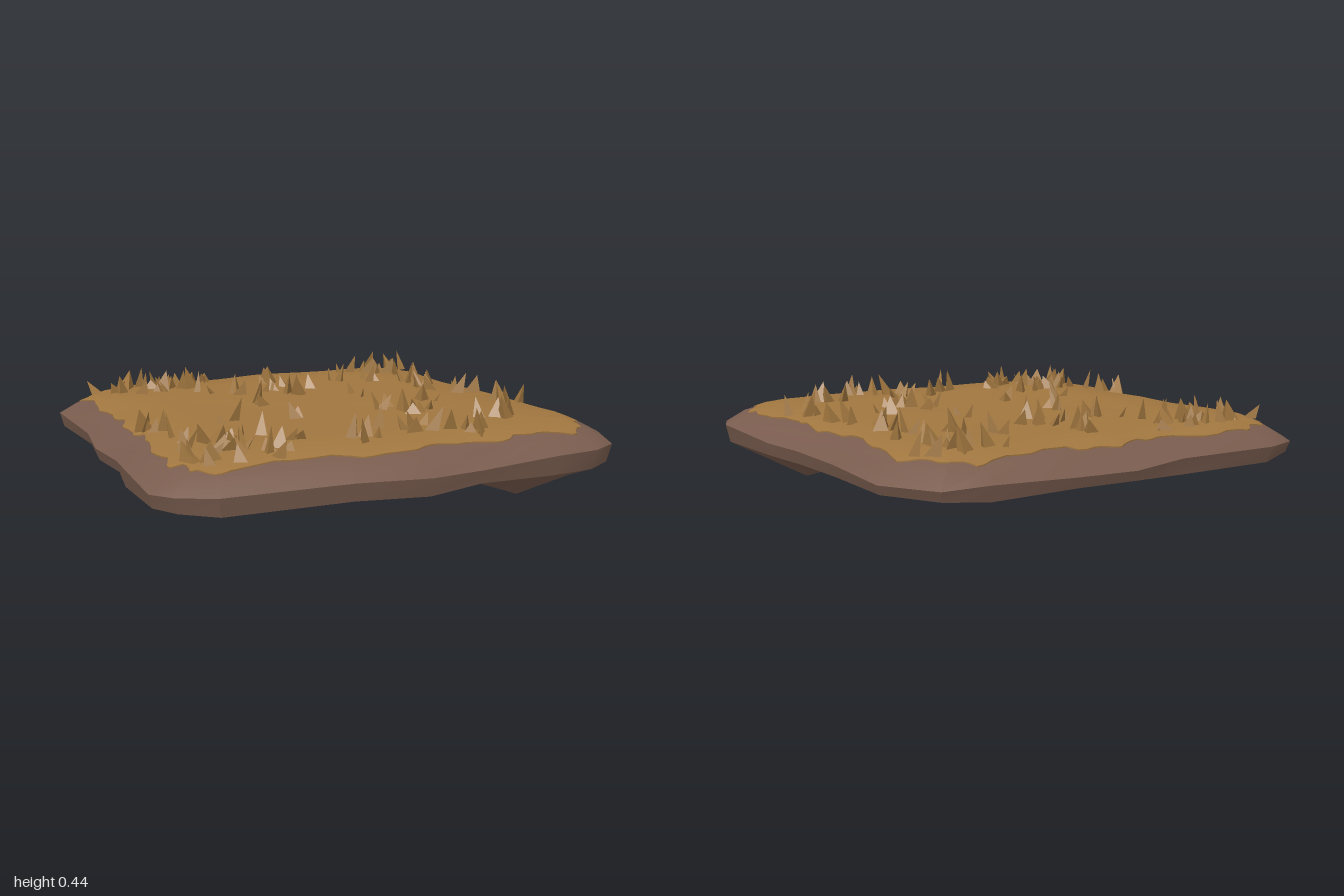
import * as THREE from 'three';
import { toCreasedNormals, mergeGeometries } from 'three/addons/utils/BufferGeometryUtils.js';

// Seeded random numbers
let seed = 7;
const rand = () => {
  seed = (seed * 16807) % 2147483647;
  return seed / 2147483647;
};
const spread = (a) => (rand() * 2 - 1) * a;

// Rim of the tile seen from above, x and z pairs
const RIM = [
  [-0.97, -0.77], [-0.89, -0.89], [-0.68, -0.98], [-0.2, -0.975], [0.05, -1], [0.3, -0.975],
  [0.68, -0.98], [0.84, -0.92], [0.96, -0.69], [0.94, -0.3], [0.95, 0], [0.97, 0.25],
  [0.99, 0.69], [0.92, 0.87], [0.78, 0.95], [0.57, 0.98], [0.25, 0.96], [0, 1],
  [-0.3, 0.97], [-0.8, 0.94], [-0.93, 0.86], [-0.99, 0.75], [-0.99, 0.4], [-0.96, 0.2],
  [-0.99, 0], [-0.95, -0.3],
];

// Upper slope: height at a fraction s of the rim, rising a little to the front
function topY(s, z) {
  const stops = [[0, 0.322], [0.85, 0.322], [0.93, 0.29], [1, 0.235]];
  let i = 1;
  while (i < stops.length - 1 && s > stops[i][0]) i++;
  const [s0, y0] = stops[i - 1], [s1, y1] = stops[i];
  return y0 + ((y1 - y0) * (s - s0)) / (s1 - s0) + 0.012 * z;
}

// Underside: gently wavy with one deep lump under the front left corner
function bottomY(x, z) {
  const base = 0.142 + 0.014 * Math.cos(x * 5 + 1.5) + 0.012 * z;
  const d = Math.hypot((x - 0.644) / 0.36, (z - 0.609) / 0.52);
  return base * Math.min(1, d);
}

// Closed skin through rings listed from the bottom up
function loft(rings, crease) {
  const n = rings[0].length, index = [];
  for (let i = 0; i < rings.length - 1; i++) {
    for (let j = 0; j < n; j++) {
      const a = i * n + j, b = i * n + ((j + 1) % n);
      index.push(a, a + n, b, b, a + n, b + n);
    }
  }
  const g = new THREE.BufferGeometry();
  g.setAttribute('position', new THREE.Float32BufferAttribute(rings.flat(2), 3));
  g.setIndex(index);
  return toCreasedNormals(g, crease);
}

const ring = (outline, s, height) => outline.map(([x, z]) => [x * s, height(x * s, z * s), z * s]);

function slabGeometry() {
  return loft([
    ...[0, 0.35, 0.7].map((s) => ring(RIM, s, bottomY)),
    ring(RIM, 0.985, () => 0.175 + spread(0.008)),
    ring(RIM, 1, (x, z) => topY(1, z) + spread(0.015)),
    ...[0.93, 0.85, 0].map((s) => ring(RIM, s, (x, z) => topY(s, z))),
  ], 0.4);
}

function turfGeometry() {
  // Finer outline along the same rim
  const fine = [], steps = 6;
  RIM.forEach(([x, z], i) => {
    const [x1, z1] = RIM[(i + 1) % RIM.length];
    for (let k = 0; k < steps; k++) fine.push([x + ((x1 - x) * k) / steps, z + ((z1 - z) * k) / steps]);
  });
  // Ragged edge that follows the slope
  const edge = fine.map(([x, z], i) => {
    const corner = Math.min(Math.abs(x), Math.abs(z)) > 0.7 ? 0.02 : 0;
    const wave = 0.012 * Math.sin(i * 0.55) + 0.008 * Math.sin(i * 1.37);
    const s = Math.min(0.925, 0.885 + corner + wave + spread(0.006));
    return [x * s, topY(s, z * s), z * s];
  });
  const lift = (dy) => edge.map(([x, y, z]) => [x, y + dy, z]);
  return loft([
    lift(-0.004), lift(0.005),
    ...[0.85, 0.6, 0.3, 0].map((s) => ring(fine, s, (x, z) => topY(s, z) + 0.008 + 0.003 * Math.sin(x * 9 + z * 7))),
  ], 0.6);
}

// One leaning three-sided tuft
function tuft(x, z, width, height) {
  const g = new THREE.ConeGeometry(width, height, 3, 1, true).toNonIndexed();
  const p = g.attributes.position;
  const leanX = spread(0.035), leanZ = spread(0.035);
  g.rotateY(rand() * 6.28);
  g.scale(1, 1, 0.45 + rand() * 0.55);
  g.rotateY(rand() * 6.28);
  for (let i = 0; i < p.count; i++) {
    if (p.getY(i) > 0) p.setXYZ(i, p.getX(i) + leanX, p.getY(i), p.getZ(i) + leanZ);
  }
  g.translate(x, topY(0, z) + height / 2, z);
  g.computeVertexNormals();
  return g;
}

function tuftsGeometry() {
  // Clumps: x, z, radius, number of tufts
  const clumps = [
    [-0.55, -0.7, 0.12, 14], [-0.32, -0.74, 0.1, 6], [-0.75, -0.7, 0.08, 3], [-0.3, -0.45, 0.1, 5],
    [0, -0.66, 0.1, 5], [-0.02, -0.34, 0.09, 6], [-0.25, -0.1, 0.08, 5], [0.1, -0.45, 0.06, 3],
    [0.6, -0.68, 0.12, 11], [0.42, -0.5, 0.1, 5], [0.68, -0.35, 0.1, 3], [0.3, -0.12, 0.06, 2],
    [0.62, -0.17, 0.09, 5], [0.77, 0, 0.06, 4], [0.52, 0.12, 0.06, 2], [0.2, 0.23, 0.06, 3],
    [0.36, 0.35, 0.09, 5], [0.78, 0.3, 0.08, 6], [0.54, 0.57, 0.07, 4], [0.1, 0.62, 0.1, 6],
    [0.3, 0.76, 0.08, 6], [-0.13, 0.68, 0.08, 4], [-0.7, 0.6, 0.14, 10], [-0.58, 0.74, 0.12, 9],
    [-0.8, 0.78, 0.06, 4], [-0.48, 0.45, 0.06, 2], [-0.8, 0.2, 0.07, 4], [-0.5, 0.2, 0.06, 2],
    [-0.18, 0.25, 0.04, 2], [-0.37, 0.58, 0.05, 2], [-0.8, 0.42, 0.06, 2], [0.8, -0.72, 0.05, 2],
  ];
  const parts = [];
  for (const [cx, cz, r, count] of clumps) {
    for (let i = 0; i < count; i++) {
      const x = THREE.MathUtils.clamp(cx + spread(r), -0.83, 0.83);
      const z = THREE.MathUtils.clamp(cz + spread(r), -0.79, 0.81);
      parts.push(tuft(x, z, 0.022 + rand() * 0.03, 0.045 + rand() * 0.065));
    }
  }
  return mergeGeometries(parts);
}

export function createModel() {
  seed = 7;
  const soil = new THREE.MeshStandardMaterial({ color: 0x795c4e });
  const grass = new THREE.MeshStandardMaterial({ color: 0xa0763f });
  soil.name = 'soil brown';
  grass.name = 'dry grass';

  const group = new THREE.Group();
  group.name = 'groundTile';
  const add = (name, geometry, material) => {
    const mesh = new THREE.Mesh(geometry, material);
    mesh.name = name;
    group.add(mesh);
  };
  add('soilSlab', slabGeometry(), soil);
  add('grassCover', turfGeometry(), grass);
  add('grassTufts', tuftsGeometry(), grass);
  return group;
}
